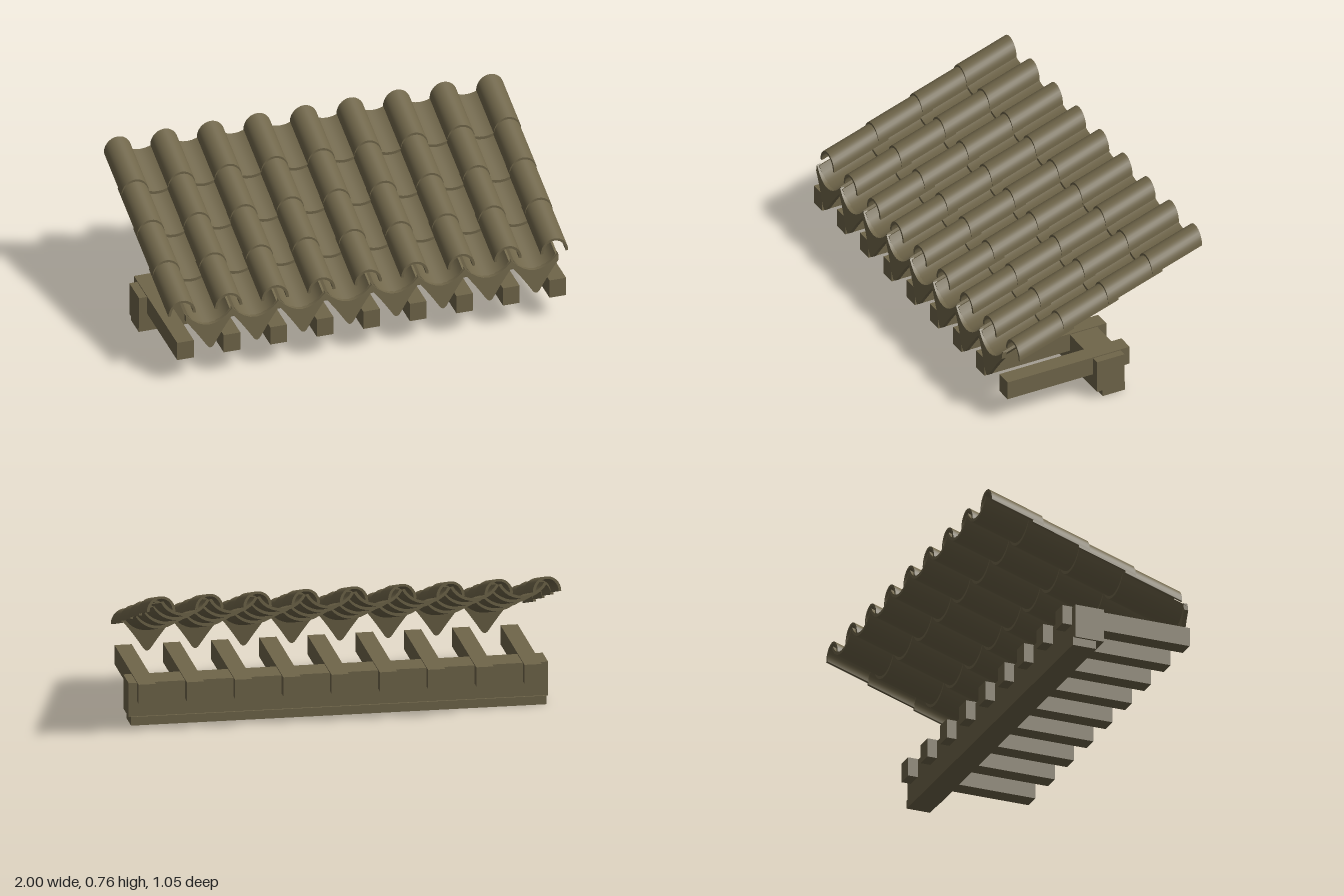
import * as THREE from 'three';
import { toCreasedNormals } from 'three/addons/utils/BufferGeometryUtils.js';

const SLOPE = 0.325;   // roof rise per unit of depth
const PITCH = 0.23;    // spacing between tile columns

// Points on an arc of the given radii around (0, cy)
function arc(rx, ry, cy, a0, a1, n) {
  return Array.from({ length: n + 1 }, (_, i) => {
    const a = a0 + (a1 - a0) * i / n;
    return new THREE.Vector2(rx * Math.cos(a), cy + ry * Math.sin(a));
  });
}

// Extrude a curved cross-section from zBack to zFront and shear it to the roof slope
function slopedTile(points, zBack, zFront, offset) {
  const g = new THREE.ExtrudeGeometry(new THREE.Shape(points),
    { depth: zFront - zBack, bevelEnabled: false });
  g.translate(0, offset, zBack);
  const p = g.attributes.position;
  for (let i = 0; i < p.count; i++) p.setY(i, p.getY(i) - SLOPE * p.getZ(i));
  return toCreasedNormals(g, 0.6);
}

export function createModel() {
  const model = new THREE.Group();
  const clay = new THREE.MeshStandardMaterial({ color: 0x70664a });
  clay.name = 'brown clay';

  function add(name, geometry, x = 0, y = 0, z = 0) {
    const mesh = new THREE.Mesh(geometry, clay);
    mesh.name = name;
    mesh.position.set(x, y, z);
    model.add(mesh);
  }

  // Wall beams
  add('upperBeam', new THREE.BoxGeometry(2, 0.166, 0.146), 0, 0.123, -0.031);
  add('lowerBeam', new THREE.BoxGeometry(1.98, 0.042, 0.119), 0, 0.021, -0.0535);

  // Rafters
  const rafter = new THREE.BoxGeometry(0.082, 0.094, 0.65);
  for (let i = -4; i <= 4; i++) add('rafter', rafter, i * PITCH, 0.164, 0.172);

  // Arched cover tiles; the section's crown lies at y = 0
  const coverSection = [
    ...arc(0.068, 0.075, -0.075, 0, Math.PI, 14),
    ...arc(0.055, 0.063, -0.075, Math.PI, 0, 14),
  ];
  const coverFronts = [0.447, 0.21, -0.025, -0.26];
  coverFronts.forEach((front, row) => {
    const back = row < 3 ? front - 0.29 : -0.525;
    const g = slopedTile(coverSection, back, front, 0.55 + row * 0.0115);
    for (let i = -4; i <= 4; i++) add('coverTile', g, i * PITCH, 0, 0);
  });

  // Concave pan tiles; the section's lowest point lies at y = 0
  const half = 1.09;
  const a0 = -Math.PI / 2 - half, a1 = -Math.PI / 2 + half;
  const panSection = [
    ...arc(0.13, 0.13, 0.13, a0, a1, 12),
    ...arc(0.116, 0.116, 0.13, a1, a0, 12),
  ];
  const panFronts = [0.495, 0.24, -0.015, -0.265];
  const panBacks = [0.173, -0.05, -0.308, -0.525];
  panFronts.forEach((front, row) => {
    const g = slopedTile(panSection, panBacks[row], front, 0.437 + row * 0.015);
    for (let i = -3.5; i <= 3.5; i++) add('panTile', g, i * PITCH, 0, 0);
  });

  // Pointed drip plates hanging from the eaves
  const plate = new THREE.Shape();
  plate.moveTo(-0.115, 0.355);
  plate.lineTo(-0.115, 0.322);
  plate.quadraticCurveTo(-0.075, 0.275, -0.02, 0.19);
  plate.quadraticCurveTo(0, 0.158, 0.02, 0.19);
  plate.quadraticCurveTo(0.075, 0.275, 0.115, 0.322);
  plate.lineTo(0.115, 0.355);
  plate.quadraticCurveTo(0, 0.227, -0.115, 0.355);
  const plateGeo = new THREE.ExtrudeGeometry(plate,
    { depth: 0.022, bevelEnabled: false, curveSegments: 8 });
  const p = plateGeo.attributes.position;
  for (let i = 0; i < p.count; i++) {
    p.setZ(i, p.getZ(i) + 0.481 + (0.355 - p.getY(i)) * 0.12);
  }
  const dripGeo = toCreasedNormals(plateGeo, 0.6);
  for (let i = -3.5; i <= 3.5; i++) add('dripPlate', dripGeo, i * PITCH, 0, 0);

  return model;
}
